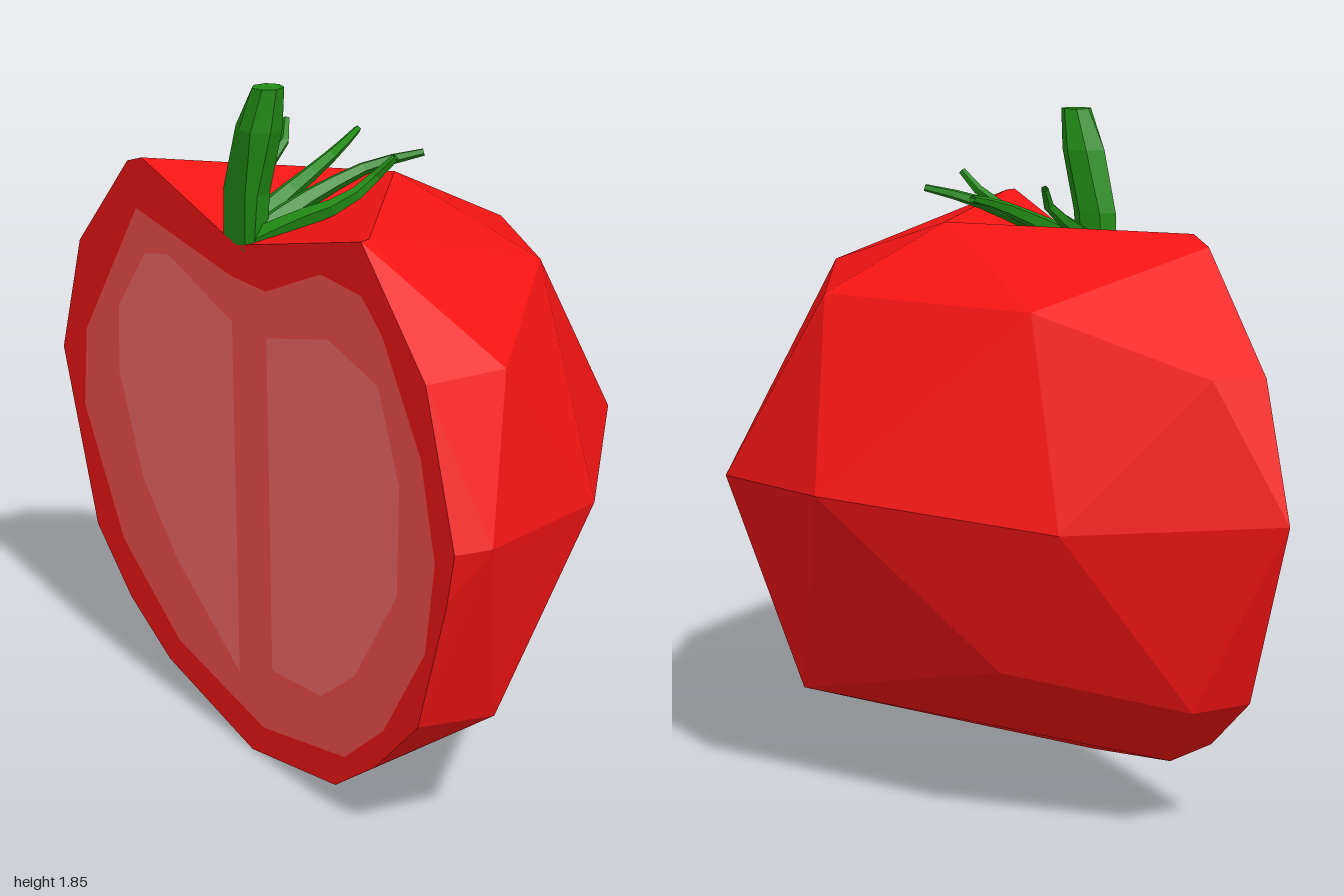
import * as THREE from 'three';
import { ConvexGeometry } from 'three/addons/geometries/ConvexGeometry.js';

const CUT_X = -0.52;
const DIP = [CUT_X, 1.43, 0];

const material = (color) =>
  new THREE.MeshStandardMaterial({ color, flatShading: true, side: THREE.DoubleSide });
const skin = material(0xf51414);
const flesh = material(0xf54f4f);
const seedFlesh = material(0xfa6b6b);
const green = material(0x218a14);

// Outlines on the cut plane, as [z, y]
const cutOutline = [
  [0.58, 1.575], [0.85, 1.29], [0.97, 0.9], [0.94, 0.76], [0.82, 0.39], [0.63, 0.2],
  [0.445, 0.07], [0.03, 0.0], [-0.42, 0.1], [-0.64, 0.215], [-0.83, 0.38],
  [-1.0, 0.885], [-0.87, 1.24], [-0.57, 1.535], [-0.49, 1.56],
];
const fleshOutline = [
  [-0.53, 1.41], [-0.03, 1.34], [0.14, 1.34], [0.4, 1.45], [0.58, 1.44], [0.67, 1.36],
  [0.83, 1.1], [0.89, 0.85], [0.85, 0.6], [0.67, 0.32], [0.49, 0.17], [0.09, 0.09],
  [-0.36, 0.18], [-0.67, 0.385], [-0.88, 0.74], [-0.85, 0.98],
];
const chambers = [
  [[-0.03, 1.215], [-0.36, 1.32], [-0.49, 1.29], [-0.65, 1.1], [-0.66, 0.9],
    [-0.54, 0.615], [-0.36, 0.43], [-0.03, 0.21]],
  [[0.14, 1.215], [0.43, 1.29], [0.65, 1.23], [0.74, 1.0], [0.73, 0.71],
    [0.54, 0.42], [0.38, 0.3], [0.14, 0.28]],
];

// Facet corners of the outer skin, as [x, y, z]
const skinCorners = [
  [-0.49, 1.575, 0.57], [-0.04, 1.56, 0.02],
  [0.09, 1.41, 0.49], [0.31, 1.385, 0.026], [-0.04, 1.385, -0.51],
  [-0.3, 1.295, 0.87], [-0.365, 1.245, -0.87],
  [-0.43, 0.905, 1.0], [0.02, 0.865, 0.82], [0.515, 0.86, 0.26],
  [0.445, 0.895, -0.233], [0.0, 0.86, -0.757],
  [-0.3, 0.37, 0.84], [0.07, 0.445, 0.55], [0.05, 0.45, -0.525], [-0.35, 0.375, -0.83],
  [0.33, 0.257, 0.155], [-0.17, 0.057, 0.34],
];

// Convex skin without the cut side and the lid, plus the sunken top
function skinGeometry() {
  const corners = [...skinCorners, ...cutOutline.map(([z, y]) => [CUT_X, y, z])];
  const hull = new ConvexGeometry(corners.map((p) => new THREE.Vector3(...p)));
  const src = hull.attributes.position;
  const out = [];
  for (let i = 0; i < src.count; i += 3) {
    const ids = [i, i + 1, i + 2];
    const onCut = ids.every((k) => src.getX(k) < CUT_X + 0.005);
    const onLid = ids.every((k) => src.getY(k) > 1.55);
    if (!onCut && !onLid) ids.forEach((k) => out.push(src.getX(k), src.getY(k), src.getZ(k)));
  }
  const rim = [[CUT_X, 1.575, 0.58], skinCorners[0], skinCorners[1], [CUT_X, 1.56, -0.49]];
  for (let i = 0; i < 3; i++) out.push(...rim[i], ...rim[i + 1], ...DIP);
  const geometry = new THREE.BufferGeometry();
  geometry.setAttribute('position', new THREE.Float32BufferAttribute(out, 3));
  geometry.computeVertexNormals();
  return geometry;
}

// Flat piece on the cut plane, facing -x
function cutPiece(outline, holes = []) {
  const points = (list) => list.map(([z, y]) => new THREE.Vector2(z, y));
  const shape = new THREE.Shape(points(outline));
  shape.holes = holes.map((h) => new THREE.Path(points(h)));
  return new THREE.ShapeGeometry(shape).rotateY(-Math.PI / 2).translate(CUT_X, 0, 0);
}

// Leaning stalk, sliced off at the cut plane
function stemGeometry() {
  const rings = [ // y, centre x, centre z, radius
    [1.42, -0.51, 0.0, 0.07], [1.57, -0.5, 0.005, 0.07],
    [1.74, -0.475, 0.04, 0.065], [1.85, -0.46, 0.07, 0.042],
  ];
  const geometry = new THREE.CylinderGeometry(1, 1, 3, 7, 3);
  const p = geometry.attributes.position;
  for (let i = 0; i < p.count; i++) {
    const [y, cx, cz, r] = rings[Math.round(p.getY(i) + 1.5)];
    p.setXYZ(i, Math.max(CUT_X, cx + p.getX(i) * r), y, cz + p.getZ(i) * r);
  }
  return geometry;
}

// Tapering curled sepal along a path
function sepalGeometry(points) {
  const path = new THREE.CatmullRomCurve3(points.map((q) => new THREE.Vector3(...q)));
  const steps = 6, sides = 5;
  const geometry = new THREE.TubeGeometry(path, steps, 0.034, sides);
  const p = geometry.attributes.position;
  const v = new THREE.Vector3();
  for (let i = 0; i < p.count; i++) {
    const u = Math.floor(i / (sides + 1)) / steps;
    const centre = path.getPointAt(u);
    v.fromBufferAttribute(p, i).sub(centre).multiplyScalar(1 - 0.7 * u).add(centre);
    p.setXYZ(i, v.x, v.y, v.z);
  }
  return geometry;
}

export function createModel() {
  const group = new THREE.Group();
  const add = (name, geometry, mat) => {
    const mesh = new THREE.Mesh(geometry, mat);
    mesh.name = name;
    group.add(mesh);
  };

  add('skin', skinGeometry(), skin);

  // Cut face: rind, flesh and two seed chambers
  add('cutRind', cutPiece([...cutOutline, [DIP[2], DIP[1]]], [fleshOutline]), skin);
  add('cutFlesh', cutPiece(fleshOutline, chambers), flesh);
  chambers.forEach((c, i) => add(`seedChamber${i + 1}`, cutPiece(c), seedFlesh));

  // Stalk and two mirrored pairs of sepals
  add('stem', stemGeometry(), green);
  for (const s of [1, -1]) {
    add('outerSepal', sepalGeometry([
      [-0.48, 1.45, 0.05 * s], [-0.4, 1.51, 0.13 * s], [-0.31, 1.56, 0.2 * s],
      [-0.24, 1.61, 0.215 * s], [-0.2, 1.67, 0.26 * s],
    ]), green);
    add('innerSepal', sepalGeometry([
      [-0.47, 1.46, 0.03 * s], [-0.36, 1.52, 0.04 * s], [-0.25, 1.57, 0.06 * s],
      [-0.15, 1.61, 0.09 * s], [-0.04, 1.64, 0.155 * s],
    ]), green);
  }
  return group;
}
